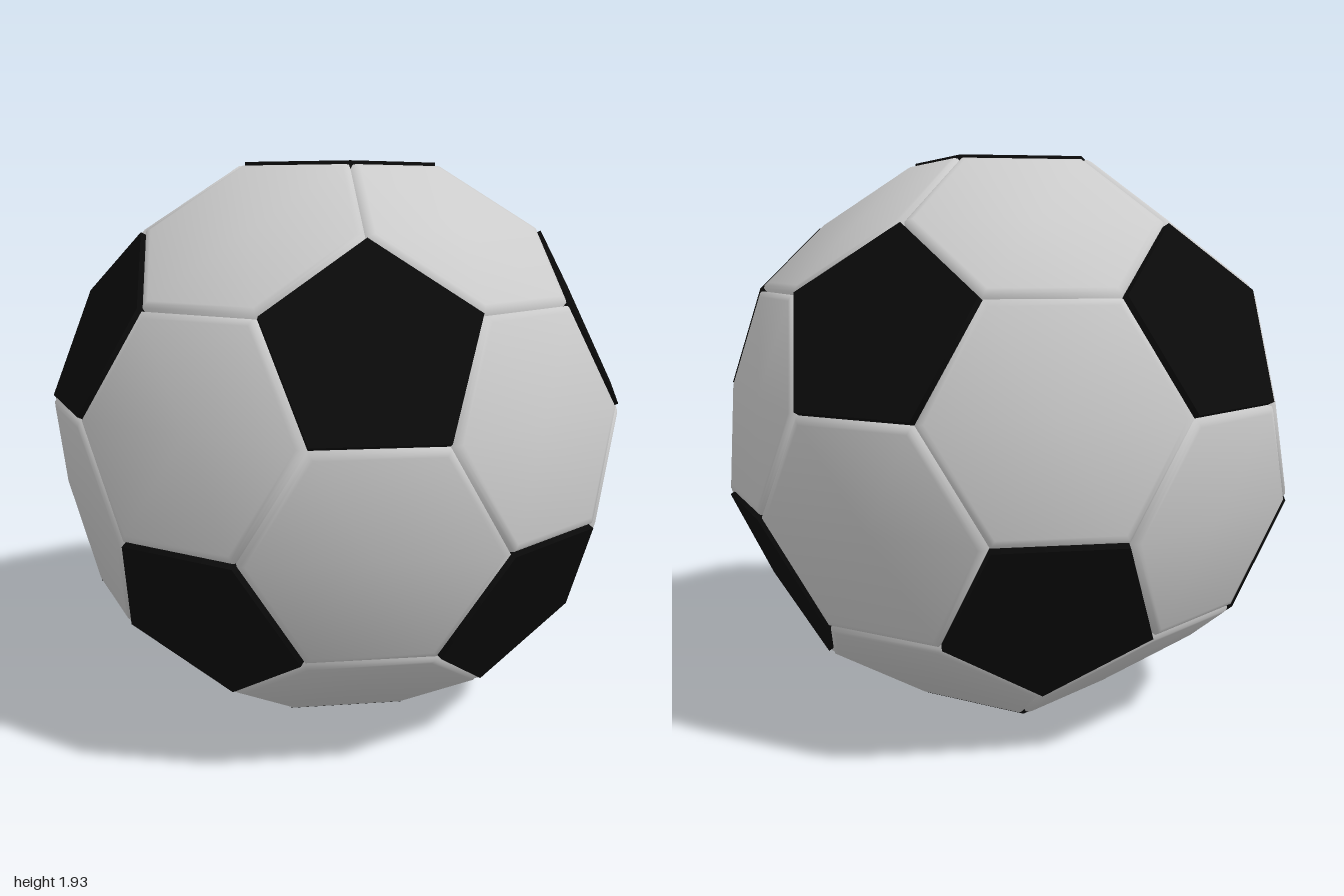
import * as THREE from 'three';

const EDGE = 0.4027;      // side of every panel
const THICK = 0.027;      // how far panels rise from the seams
const HALF_HEIGHT = 0.964;

const white = new THREE.MeshStandardMaterial({ color: 0xcccccc });
const black = new THREE.MeshStandardMaterial({ color: 0x0a0a0a });

// Corners of an icosahedron standing on a vertex
function icosahedronCorners() {
  const R = 3 * EDGE * 0.951057;
  const y = R / Math.sqrt(5), r = 2 * y;
  const pts = [new THREE.Vector3(0, R, 0), new THREE.Vector3(0, -R, 0)];
  for (let i = 0; i < 5; i++) {
    const a = (i * 2 * Math.PI) / 5, b = a + Math.PI / 5;
    pts.push(new THREE.Vector3(r * Math.cos(a), y, r * Math.sin(a)));
    pts.push(new THREE.Vector3(r * Math.cos(b), -y, r * Math.sin(b)));
  }
  return pts;
}

// Raised panel: rings from the seam up to the bevelled top.
// Each ring is [inset from corner, height, outward tilt of its normal].
function panelGeometry(corners, rings) {
  const c = new THREE.Vector3();
  corners.forEach((p) => c.add(p));
  c.divideScalar(corners.length);
  const n = c.clone().normalize();
  const u = corners[0].clone().sub(c).normalize();
  const v = n.clone().cross(u);
  const angle = (p) => Math.atan2(p.clone().sub(c).dot(v), p.clone().sub(c).dot(u));
  const sorted = [...corners].sort((p, q) => angle(p) - angle(q));
  const count = sorted.length;
  const pos = [], nor = [], index = [];

  for (const [inset, height, tilt] of rings) {
    for (const p of sorted) {
      const out = p.clone().sub(c);
      const radius = out.length();
      out.normalize();
      const q = c.clone().addScaledVector(out, radius - inset).addScaledVector(n, height);
      pos.push(q.x, q.y, q.z);
      nor.push(...n.clone().addScaledVector(out, tilt).normalize().toArray());
    }
  }
  const mid = c.clone().addScaledVector(n, THICK);
  pos.push(mid.x, mid.y, mid.z);
  nor.push(n.x, n.y, n.z);

  const last = (rings.length - 1) * count, centre = rings.length * count;
  for (let i = 0; i < count; i++) {
    const j = (i + 1) % count;
    for (let k = 0; k < last; k += count) {
      index.push(k + i, k + j, k + count + j, k + i, k + count + j, k + count + i);
    }
    index.push(last + i, last + j, centre);
  }
  const g = new THREE.BufferGeometry();
  g.setAttribute('position', new THREE.Float32BufferAttribute(pos, 3));
  g.setAttribute('normal', new THREE.Float32BufferAttribute(nor, 3));
  g.setIndex(index);
  return g;
}

export function createModel() {
  const ball = new THREE.Group();
  ball.name = 'ball';
  const V = icosahedronCorners();
  const near = (a, b) => a !== b && V[a].distanceTo(V[b]) < 3.1 * EDGE;
  const cut = (a, b) => V[a].clone().lerp(V[b], 1 / 3);
  const ids = V.map((_, i) => i);

  function addPanel(name, geometry, material) {
    const mesh = new THREE.Mesh(geometry, material);
    mesh.name = name;
    mesh.position.y = HALF_HEIGHT;
    ball.add(mesh);
  }

  // Twelve flat black pentagons, one at each icosahedron corner
  for (const a of ids) {
    const corners = ids.filter((b) => near(a, b)).map((b) => cut(a, b));
    const rings = [[0, 0, 4], [0, THICK, 4], [0, THICK, 0]];
    addPanel('blackPentagon', panelGeometry(corners, rings), black);
  }

  // Twenty softly bevelled hexagons, one on each icosahedron face
  const hexRings = [[0, 0, 1.6], [0, THICK - 0.011, 1.1], [0.008, THICK - 0.003, 0.7], [0.024, THICK, 0.3]];
  for (const a of ids) for (const b of ids) for (const c of ids) {
    if (!(a < b && b < c && near(a, b) && near(b, c) && near(a, c))) continue;
    const corners = [cut(a, b), cut(b, a), cut(b, c), cut(c, b), cut(c, a), cut(a, c)];
    addPanel('whiteHexagon', panelGeometry(corners, hexRings), white);
  }
  return ball;
}
